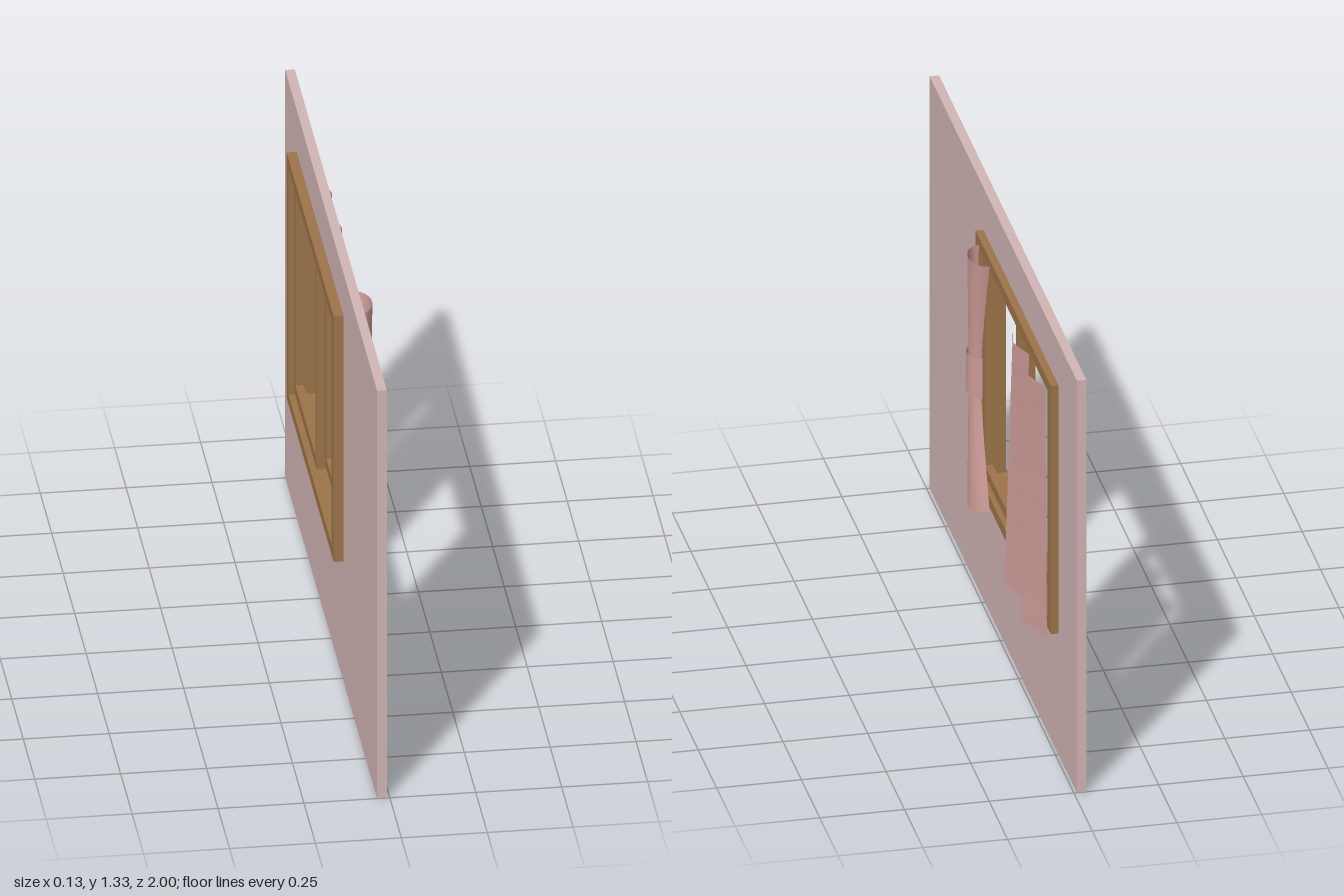
import * as THREE from 'three';

const wallPaint = new THREE.MeshStandardMaterial({ color: 0xd2b5b5 });
const wood = new THREE.MeshStandardMaterial({ color: 0x9c744a });
const cloth = new THREE.MeshStandardMaterial({ color: 0xcb9a97, side: THREE.DoubleSide });
wallPaint.name = 'wall paint';
wood.name = 'wood';
cloth.name = 'curtain cloth';

// Rectangular panel in the z-y plane with a rectangular opening, thick along x.
// Rectangles are [zMin, zMax, yMin, yMax].
function panel(name, outer, inner, x0, x1, material) {
  const trace = (path, [z0, z1, y0, y1]) =>
    path.moveTo(-z1, y0).lineTo(-z0, y0).lineTo(-z0, y1).lineTo(-z1, y1).closePath();
  const shape = trace(new THREE.Shape(), outer);
  shape.holes.push(trace(new THREE.Path(), inner));
  const geo = new THREE.ExtrudeGeometry(shape, { depth: x1 - x0, bevelEnabled: false });
  geo.rotateY(Math.PI / 2).translate(x0, 0, 0);
  const mesh = new THREE.Mesh(geo, material);
  mesh.name = name;
  return mesh;
}

// Open sheet spanning rows of [x, y, z] points
function sheet(name, rows, flat) {
  const n = rows[0].length;
  const index = [];
  for (let j = 0; j < rows.length - 1; j++) {
    for (let i = 0; i < n - 1; i++) {
      const a = j * n + i, b = a + 1, c = a + n, d = c + 1;
      index.push(a, c, b, b, c, d);
    }
  }
  let geo = new THREE.BufferGeometry();
  geo.setAttribute('position', new THREE.Float32BufferAttribute(rows.flat(2), 3));
  geo.setIndex(index);
  if (flat) geo = geo.toNonIndexed();
  geo.computeVertexNormals();
  const mesh = new THREE.Mesh(geo, cloth);
  mesh.name = name;
  return mesh;
}

// Hanging curtain: zigzag pleats that widen and deepen towards the hem
function pleatedCurtain() {
  const rows = [];
  for (let j = 0; j <= 8; j++) {
    const t = j / 8;
    const zStart = THREE.MathUtils.lerp(-0.25, -0.23, t);
    const zEnd = THREE.MathUtils.lerp(-0.685, -0.707, t);
    const row = [];
    for (let i = 0; i <= 4; i++) {
      const peak = i % 2;
      const x = peak ? THREE.MathUtils.lerp(0.042, 0.064, t) : 0.016;
      const top = peak ? 1.145 : 1.155;
      row.push([x, THREE.MathUtils.lerp(top, 0.36, t), THREE.MathUtils.lerp(zStart, zEnd, i / 4)]);
    }
    rows.push(row);
  }
  return sheet('pleatedCurtain', rows, true);
}

// One bowed cross-section of the gathered curtain
function bow(y, zOuter, zInner, xBack, xFront, dip = 0) {
  const row = [];
  for (let i = 0; i <= 12; i++) {
    const a = (i / 12) * Math.PI;
    row.push([
      xBack + (xFront - xBack) * Math.sin(a),
      y - dip * Math.sin(a),
      (zOuter + zInner) / 2 + ((zOuter - zInner) / 2) * Math.cos(a),
    ]);
  }
  return row;
}

// Gathered curtain: flares above and below the tie
function gatheredCurtain() {
  const rows = [];
  for (let j = 0; j <= 16; j++) {
    const y = THREE.MathUtils.lerp(1.17, 0.38, j / 16);
    const t = Math.min(1, Math.abs(y - 0.78) / 0.39);
    const flare = Math.pow(t, 1.35);
    rows.push(bow(y, 0.216 + 0.007 * flare, 0.145 - 0.065 * flare,
      0.026 - 0.012 * flare, 0.053 + 0.009 * flare, j === 16 ? 0.012 : 0));
  }
  return sheet('gatheredCurtain', rows, false);
}

export function createModel() {
  const model = new THREE.Group();

  // Wall with the window opening
  model.add(panel('wall', [-1, 1, 0, 1.33], [-0.73, 0.25, 0.41, 1.172], -0.037, -0.009, wallPaint));

  // Outer frame and two sliding sashes in separate tracks
  model.add(panel('windowFrame', [-0.752, 0.27, 0.392, 1.193], [-0.708, 0.226, 0.426, 1.157], -0.066, 0.014, wood));
  model.add(panel('innerSash', [-0.247, 0.226, 0.436, 1.157], [-0.222, 0.2, 0.468, 1.132], -0.022, 0.002, wood));
  model.add(panel('outerSash', [-0.708, -0.222, 0.436, 1.157], [-0.683, -0.247, 0.468, 1.132], -0.05, -0.026, wood));

  // Curtains and the tie around the gathered one
  model.add(pleatedCurtain(), gatheredCurtain());
  const tieRows = [0.85, 0.785, 0.72].map((y) => bow(y, 0.227, 0.133, 0.024, 0.06));
  const tie = sheet('curtainTie', tieRows, false);
  model.add(tie);

  return model;
}
